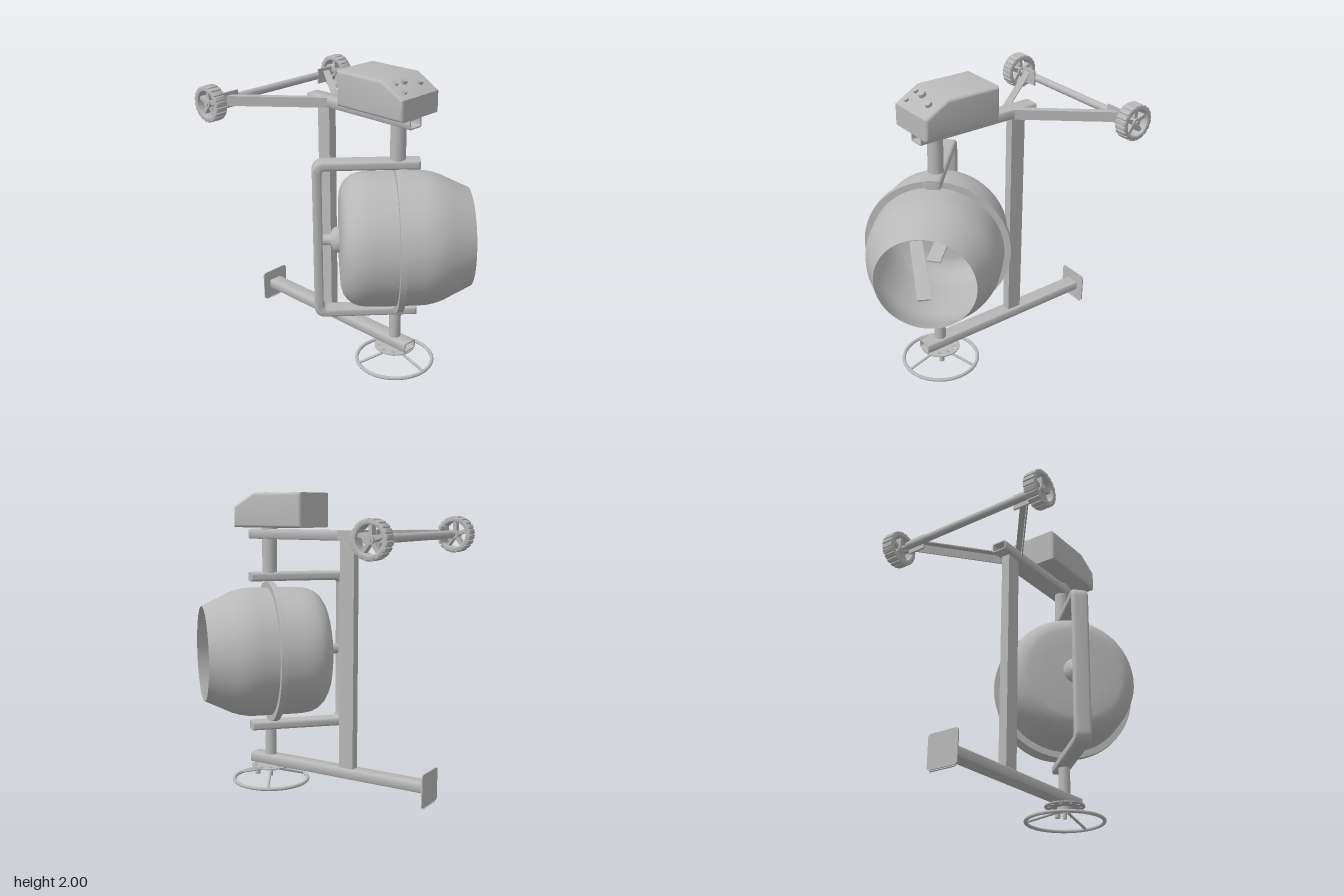
import * as THREE from 'three';
import { toCreasedNormals } from 'three/addons/utils/BufferGeometryUtils.js';

const metal = new THREE.MeshStandardMaterial({ color: 0xb8b8b8, side: THREE.DoubleSide });
metal.name = 'grey metal';

const PIVOT_Z = 0.335; // vertical swivel axis
const DRUM_Y = 0.92;
const V = (x, y, z) => new THREE.Vector3(x, y, z);

function add(parent, name, geometry, x = 0, y = 0, z = 0) {
  const mesh = new THREE.Mesh(geometry, metal);
  mesh.name = name;
  mesh.position.set(x, y, z);
  parent.add(mesh);
  return mesh;
}
const box = (p, name, w, h, d, x, y, z) => add(p, name, new THREE.BoxGeometry(w, h, d), x, y, z);
const cyl = (p, name, r, h, x, y, z, n = 32) => add(p, name, new THREE.CylinderGeometry(r, r, h, n), x, y, z);

// Round bar between two points
function rod(p, name, a, b, r) {
  const mesh = cyl(p, name, r, a.distanceTo(b), 0, 0, 0, 16);
  mesh.position.copy(a).add(b).multiplyScalar(0.5);
  mesh.quaternion.setFromUnitVectors(V(0, 1, 0), b.clone().sub(a).normalize());
  return mesh;
}

function roundRect(w, h, r, Type = THREE.Shape) {
  const s = new Type(), x = w / 2, y = h / 2;
  s.absarc(x - r, y - r, r, 0, Math.PI / 2);
  s.absarc(-x + r, y - r, r, Math.PI / 2, Math.PI);
  s.absarc(-x + r, -y + r, r, Math.PI, Math.PI * 1.5);
  s.absarc(x - r, -y + r, r, Math.PI * 1.5, Math.PI * 2);
  s.closePath();
  return s;
}

// Extrusion centred on its depth, with optional rounded edges
function extrude(shape, depth, bevel = 0) {
  const g = new THREE.ExtrudeGeometry(shape, {
    depth: depth - 2 * bevel, curveSegments: 10, bevelEnabled: bevel > 0,
    bevelSize: bevel, bevelThickness: bevel, bevelOffset: -bevel, bevelSegments: 4,
  });
  g.translate(0, 0, -depth / 2 + bevel);
  return toCreasedNormals(g, 0.6);
}

// Open rectangular steel tube running along z
function squareTube(w, h, length) {
  const s = roundRect(w, h, 0.012);
  s.holes.push(roundRect(w - 0.016, h - 0.016, 0.008, THREE.Path));
  return extrude(s, length);
}

function buildDrum() {
  const drum = new THREE.Group();
  drum.name = 'drumAssembly';
  // Shell, with the mouth along local +z
  const profile = [[0, -0.375], [0.2, -0.373], [0.31, -0.367], [0.35, -0.355], [0.385, -0.332],
    [0.412, -0.3], [0.43, -0.26], [0.438, -0.21], [0.44, -0.15], [0.44, 0.13], [0.437, 0.18],
    [0.428, 0.23], [0.41, 0.285], [0.385, 0.335], [0.323, 0.467]].map(([r, t]) => new THREE.Vector2(r, t));
  add(drum, 'drumShell', new THREE.LatheGeometry(profile, 72).rotateX(Math.PI / 2));
  const ring = [[0.44, -0.02], [0.483, -0.02], [0.483, 0.02], [0.44, 0.02], [0.44, -0.02]]
    .map(([r, t]) => new THREE.Vector2(r, t));
  add(drum, 'drumRing', toCreasedNormals(new THREE.LatheGeometry(ring, 72), 0.6).rotateX(Math.PI / 2));
  // Rear bearing
  const hub = [[0.085, 0], [0.085, 0.02], [0.07, 0.045], [0.035, 0.06], [0.035, 0.12]]
    .map(([r, t]) => new THREE.Vector2(r, t));
  add(drum, 'rearHub', new THREE.LatheGeometry(hub, 32).rotateX(-Math.PI / 2), 0, 0, -0.37);
  // Mixing blades
  for (const [a, b] of [[V(-0.05, -0.25, 0.27), V(-0.2, -0.13, -0.25)], [V(0.04, 0.12, 0.38), V(0.1, 0.2, -0.2)]]) {
    const blade = box(drum, 'mixingBlade', 0.09, 0.012, a.distanceTo(b), 0, 0, 0);
    blade.position.copy(a).add(b).multiplyScalar(0.5);
    blade.lookAt(a);
  }
  // U-shaped yoke: outer outline, then the inner one back
  const s = new THREE.Shape(), H = 0.547, T = -0.54, F = 0.14, w = 0.06, R = 0.07, r = 0.025;
  s.moveTo(F, H);
  s.lineTo(T + R, H);
  s.absarc(T + R, H - R, R, Math.PI / 2, Math.PI);
  s.absarc(T + R, -H + R, R, Math.PI, Math.PI * 1.5);
  s.lineTo(F, -H);
  s.lineTo(F, -H + w);
  s.absarc(T + w + r, -H + w + r, r, Math.PI * 1.5, Math.PI, true);
  s.absarc(T + w + r, H - w - r, r, Math.PI, Math.PI / 2, true);
  s.lineTo(F, H - w);
  s.closePath();
  add(drum, 'yoke', extrude(s, 0.11, 0.018)).rotation.y = -Math.PI / 2;
  drum.position.set(0, DRUM_Y, PIVOT_Z);
  drum.rotation.y = 0.815;
  return drum;
}

function buildFrame() {
  const frame = new THREE.Group();
  frame.name = 'frame';
  add(frame, 'lowerBeam', squareTube(0.108, 0.066, 1.35), 0, 0.158, -0.205);
  add(frame, 'upperBeam', squareTube(0.108, 0.066, 0.89), 0, 1.724, 0.025);
  box(frame, 'post', 0.06, 1.5, 0.105, 0, 0.941, -0.291);
  cyl(frame, 'upperPivot', 0.05, 0.24, 0, 1.575, PIVOT_Z);
  cyl(frame, 'motorNeck', 0.055, 0.03, 0, 1.765, PIVOT_Z);
  cyl(frame, 'lowerPivot', 0.039, 0.2, 0, 0.285, PIVOT_Z);
  // Foot plate with a small lip at the bottom
  add(frame, 'footPlate', extrude(roundRect(0.22, 0.215, 0.02), 0.008), 0, 0.157, -0.885);
  box(frame, 'footLip', 0.18, 0.006, 0.02, 0, 0.046, -0.879).rotation.x = -0.7;
  // Axle, angle-iron struts and brackets
  rod(frame, 'axleTube', V(-0.5, 1.725, -0.772), V(0.5, 1.725, -0.772), 0.026);
  rod(frame, 'axle', V(-0.62, 1.725, -0.772), V(0.62, 1.725, -0.772), 0.014);
  for (const side of [-1, 1]) {
    const a = V(side * 0.04, 1.724, -0.25), b = V(side * 0.455, 1.724, -0.755);
    const strut = new THREE.Group();
    strut.name = 'strut';
    const length = a.distanceTo(b);
    box(strut, 'strutWeb', 0.008, 0.066, length, side * 0.02, 0, 0);
    box(strut, 'strutFlange', 0.044, 0.008, length, 0, 0.029, 0);
    strut.position.copy(a).add(b).multiplyScalar(0.5);
    strut.lookAt(a);
    frame.add(strut);
    box(frame, 'axleBracket', 0.13, 0.105, 0.012, side * 0.435, 1.727, -0.75);
  }
  return frame;
}

function buildWheel(side) {
  const wheel = new THREE.Group();
  wheel.name = side > 0 ? 'leftWheel' : 'rightWheel';
  // Knobbly tyre
  const s = new THREE.Shape(), knobs = 20;
  for (let i = 0; i < knobs; i++) {
    for (const [f, r] of [[0, 0.112], [0.12, 0.119], [0.78, 0.119], [0.9, 0.112]]) {
      const a = (i + f) / knobs * Math.PI * 2;
      s[i + f === 0 ? 'moveTo' : 'lineTo'](r * Math.cos(a), r * Math.sin(a));
    }
  }
  s.closePath();
  s.holes.push(new THREE.Path().absarc(0, 0, 0.085, 0, Math.PI * 2, true));
  add(wheel, 'tyre', extrude(s, 0.085, 0.006));
  cyl(wheel, 'wheelHub', 0.028, 0.07, 0, 0, 0, 24).rotation.x = Math.PI / 2;
  for (let i = 0; i < 5; i++) {
    const a = i / 5 * Math.PI * 2 + Math.PI / 2;
    const spoke = box(wheel, 'wheelSpoke', 0.07, 0.024, 0.045, 0.056 * Math.cos(a), 0.056 * Math.sin(a), 0);
    spoke.rotation.z = a;
  }
  wheel.position.set(side * 0.578, 1.725, -0.772);
  wheel.rotation.y = side * Math.PI / 2;
  return wheel;
}

function buildMotor() {
  const motor = new THREE.Group();
  motor.name = 'motorUnit';
  const s = new THREE.Shape([[-0.03, 1.77], [0.507, 1.77], [0.507, 1.905], [0.345, 1.997], [-0.03, 1.997]]
    .map(([z, y]) => new THREE.Vector2(z, y)));
  add(motor, 'motorHousing', extrude(s, 0.35, 0.02)).rotation.y = -Math.PI / 2;
  // Controls on the sloping panel
  const panel = new THREE.Group();
  panel.name = 'controls';
  panel.position.set(0, 1.951, 0.426);
  panel.rotation.x = Math.atan2(0.092, 0.162);
  for (const z of [-0.04, 0.04]) box(panel, 'switch', 0.022, 0.022, 0.024, -0.103, 0.006, z);
  cyl(panel, 'startKnob', 0.023, 0.03, -0.03, 0.009, -0.04, 24);
  cyl(panel, 'speedKnob', 0.022, 0.026, 0.083, 0.007, -0.004, 24);
  motor.add(panel);
  return motor;
}

function buildHandwheel() {
  const hw = new THREE.Group();
  hw.name = 'handwheel';
  hw.position.z = PIVOT_Z;
  add(hw, 'handwheelRim', new THREE.TorusGeometry(0.258, 0.012, 12, 64).rotateX(Math.PI / 2), 0, 0.012, 0);
  for (let i = 0; i < 3; i++) {
    const a = i / 3 * Math.PI * 2, x = Math.sin(a), z = Math.cos(a);
    rod(hw, 'handwheelSpoke', V(x * 0.255, 0.014, z * 0.255), V(x * 0.03, 0.08, z * 0.03), 0.009);
  }
  // Locking disc with a circle of holes
  const disc = new THREE.Shape().absarc(0, 0, 0.135, 0, Math.PI * 2);
  for (let i = 0; i < 10; i++) {
    const a = i / 10 * Math.PI * 2;
    disc.holes.push(new THREE.Path().absarc(0.105 * Math.cos(a), 0.105 * Math.sin(a), 0.012, 0, Math.PI * 2, true));
  }
  add(hw, 'lockingDisc', extrude(disc, 0.008).rotateX(Math.PI / 2), 0, 0.112, 0);
  cyl(hw, 'handwheelHub', 0.05, 0.025, 0, 0.09, 0);
  cyl(hw, 'handwheelBolt', 0.014, 0.1, 0, 0.08, 0);
  cyl(hw, 'lockPin', 0.018, 0.05, 0.09, 0.085, 0.05, 16);
  return hw;
}

export function createModel() {
  const model = new THREE.Group();
  model.name = 'concreteMixer';
  model.add(buildFrame(), buildDrum(), buildMotor(), buildHandwheel(), buildWheel(1), buildWheel(-1));
  return model;
}
